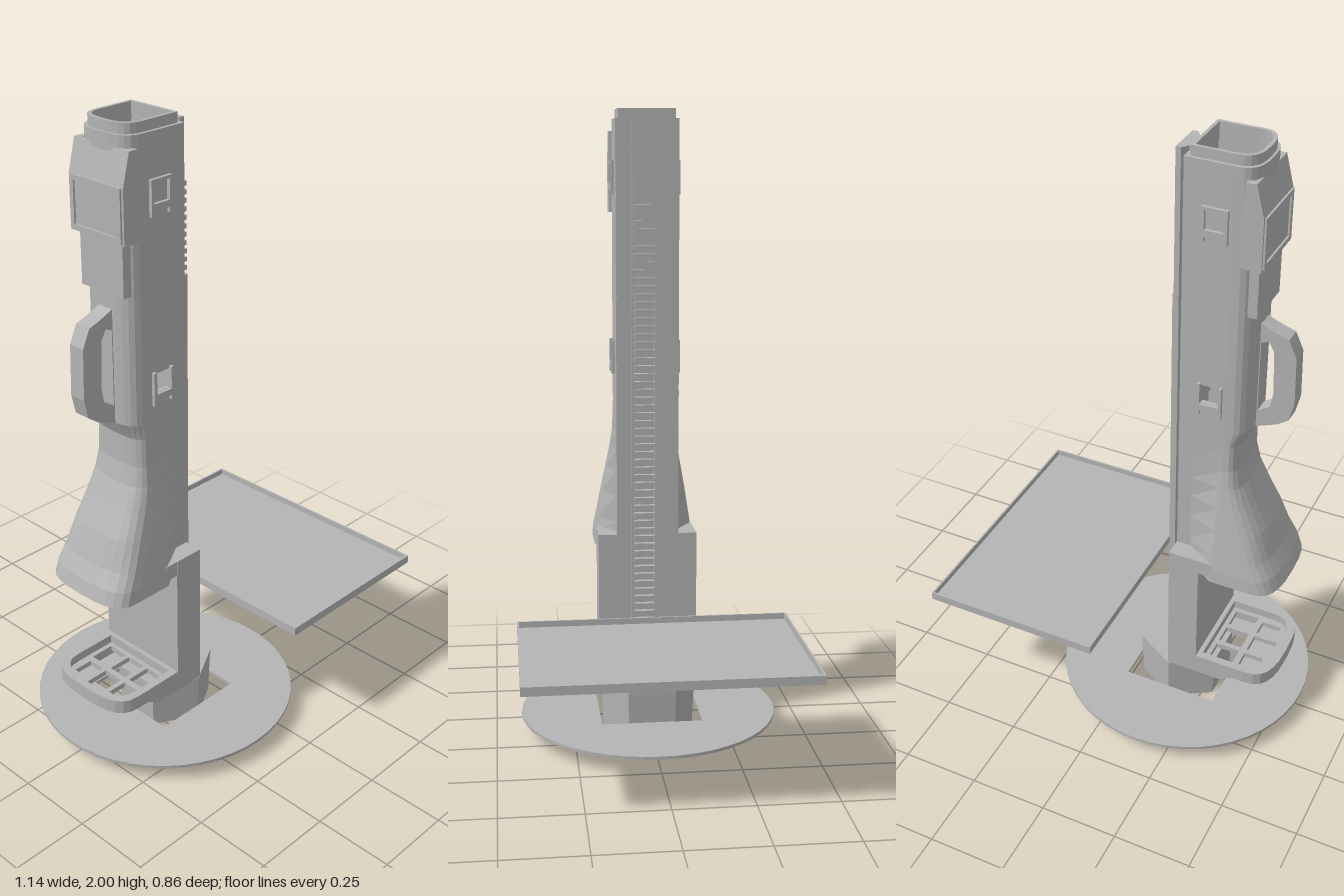
import * as THREE from 'three';

const grey = new THREE.MeshStandardMaterial({ color: 0xb4b4b4, side: THREE.DoubleSide });
grey.name = 'plain grey';

function add(group, name, geo, x = 0, y = 0, z = 0) {
  const m = new THREE.Mesh(geo, grey);
  m.name = name;
  m.position.set(x, y, z);
  group.add(m);
  return m;
}

// box given by its limits
function block(group, name, x0, x1, y0, y1, z0, z1) {
  return add(group, name, new THREE.BoxGeometry(x1 - x0, y1 - y0, z1 - z0),
    (x0 + x1) / 2, (y0 + y1) / 2, (z0 + z1) / 2);
}

const toShape = (pts) => new THREE.Shape(pts.map(p => new THREE.Vector2(p[0], p[1])));
const toPath = (pts) => new THREE.Path(pts.map(p => new THREE.Vector2(p[0], p[1])));
const rect = (x0, x1, y0, y1) => [[x0, y0], [x1, y0], [x1, y1], [x0, y1]];

// plan outline [x, z] raised from y0 to y1
function upright(pts, holes, y0, y1) {
  const s = toShape(pts);
  holes.forEach(h => s.holes.push(toPath(h)));
  const g = new THREE.ExtrudeGeometry(s, { depth: y1 - y0, bevelEnabled: false });
  return g.rotateX(-Math.PI / 2).translate(0, y0, 0);
}

// side outline [x, y] extruded from z0 to z1
function sideways(pts, holes, z0, z1) {
  const s = toShape(pts);
  holes.forEach(h => s.holes.push(toPath(h)));
  return new THREE.ExtrudeGeometry(s, { depth: z1 - z0, bevelEnabled: false }).translate(0, 0, z0);
}

// rounded nose towards -x
function nose(xMin, xc, h, n = 12) {
  const pts = [];
  for (let i = 0; i <= n; i++) {
    const a = -Math.PI / 2 + Math.PI * i / n, s = Math.sin(a);
    const c = i === 0 || i === n ? 0 : Math.cos(a);
    pts.push([xc - (xc - xMin) * Math.pow(c, 0.7), h * Math.sign(s) * Math.pow(Math.abs(s), 0.7)]);
  }
  return pts;
}

// closed section of the flared shell; t insets it for the inner wall
function section([y, xMin, xc, h], t) {
  const b = 0.1 - t, xb = -0.155 - t;
  return [[xb, -b], [-0.2, -b], [-0.295, -(h - t)], ...nose(xMin + t, xc, h - t),
    [-0.295, h - t], [-0.2, b], [xb, b]].map(([x, z]) => [x, y, z]);
}

function loft(rows) {
  const n = rows[0].length, idx = [];
  for (let r = 0; r < rows.length - 1; r++) {
    for (let i = 0; i < n; i++) {
      const a = r * n + i, b = r * n + (i + 1) % n;
      idx.push(a, b, a + n, b, b + n, a + n);
    }
  }
  const g = new THREE.BufferGeometry();
  g.setAttribute('position', new THREE.Float32BufferAttribute(rows.flat(2), 3));
  g.setIndex(idx);
  const flat = g.toNonIndexed();
  flat.computeVertexNormals();
  return flat;
}

export function createModel() {
  const root = new THREE.Group();
  root.name = 'tower with tray';
  const CX = -0.155;

  // ground disc with square opening
  const disc = [];
  for (let i = 0; i < 48; i++) {
    const a = i / 48 * Math.PI * 2;
    disc.push([CX + 0.417 * Math.cos(a), 0.417 * Math.sin(a)]);
  }
  add(root, 'groundDisc', upright(disc, [rect(-0.32, -0.01, -0.163, 0.163)], 0.05, 0.06));

  // hexagonal pedestal with slotted underside
  const base = new THREE.Group();
  base.name = 'pedestal';
  root.add(base);
  add(base, 'pedestalWall', new THREE.CylinderGeometry(0.155, 0.148, 0.16, 6, 1, true).toNonIndexed(), CX, 0.08, 0)
    .geometry.computeVertexNormals();
  const hex = (r) => Array.from({ length: 6 }, (_, i) => {
    const a = Math.PI / 6 + i * Math.PI / 3;
    return [CX + r * Math.cos(a), r * Math.sin(a)];
  });
  add(base, 'pedestalTop', upright(hex(0.155), [rect(-0.215, -0.185, -0.015, 0.015)], 0.15, 0.16));
  const slots = [];
  for (let i = 0; i < 6; i++) {
    const polar = (r, d) => {
      const a = i * Math.PI / 3 + d;
      return [CX + r * Math.cos(a), r * Math.sin(a)];
    };
    slots.push([polar(0.055, -0.2), polar(0.105, -0.36), polar(0.105, 0.36), polar(0.055, 0.2)]);
  }
  add(base, 'pedestalBottom', upright(hex(0.148), slots, 0, 0.012));

  // hollow lower column
  const column = new THREE.Group();
  column.name = 'lowerColumn';
  root.add(column);
  block(column, 'columnBack', -0.17, -0.155, 0.17, 0.65, -0.16, 0.16);
  block(column, 'columnFloor', -0.255, -0.17, 0.16, 0.18, -0.145, 0.145);
  const face = sideways(rect(-0.16, 0.16, 0.17, 0.6), [rect(-0.05, 0.05, 0.49, 0.56)], 0, 0.015);
  add(column, 'columnFace', face.rotateY(-Math.PI / 2), -0.24);
  for (const s of [-1, 1]) {
    block(column, 'columnSide', -0.254, -0.156, 0.17, 0.65, s * 0.1525 - 0.0075, s * 0.1525 + 0.0075);
    block(column, 'columnLedge', -0.3, -0.156, 0.6, 0.65, s * 0.126 - 0.033, s * 0.126 + 0.033);
  }

  // rounded foot with ladder openings
  const foot = new THREE.Group();
  foot.name = 'foot';
  root.add(foot);
  const footOuter = [[-0.25, -0.16], ...nose(-0.512, -0.42, 0.16), [-0.25, 0.16]];
  const footInner = [[-0.27, -0.135], ...nose(-0.487, -0.41, 0.135), [-0.27, 0.135]];
  add(foot, 'footRim', upright(footOuter, [footInner], 0.197, 0.24));
  const cells = [rect(-0.465, -0.385, -0.035, 0.035)];
  for (const z of [-0.085, 0, 0.085]) cells.push(rect(-0.365, -0.285, z - 0.034, z + 0.034));
  for (const z of [-0.08, 0.08]) cells.push(rect(-0.45, -0.385, z - 0.028, z + 0.028));
  add(foot, 'footGrid', upright(footOuter, cells, 0.195, 0.212));
  for (const z of [-0.16, 0.13]) {
    add(foot, 'footBrace', sideways([[-0.25, 0.17], [-0.34, 0.17], [-0.39, 0.197], [-0.25, 0.197]], [], z, z + 0.03));
  }

  // flared stock shell: [y, outermost x, start of nose, half width]
  const rows = [
    [1.12, -0.37, -0.3, 0.1], [1.07, -0.345, -0.3, 0.1], [0.98, -0.348, -0.3, 0.103],
    [0.92, -0.362, -0.3, 0.112], [0.85, -0.395, -0.315, 0.124], [0.77, -0.435, -0.345, 0.138],
    [0.68, -0.468, -0.385, 0.152], [0.63, -0.495, -0.41, 0.16], [0.585, -0.51, -0.425, 0.163]];
  add(root, 'flaredStock', loft([
    ...rows.map(r => section(r, 0)), ...rows.slice().reverse().map(r => section(r, 0.014))]));

  // hollow upper tower
  const tower = new THREE.Group();
  tower.name = 'upperTower';
  root.add(tower);
  add(tower, 'towerNose', upright([...nose(-0.37, -0.3, 0.1), ...nose(-0.357, -0.3, 0.087).reverse()], [], 1.12, 1.97));
  block(tower, 'towerBack', -0.175, -0.155, 1.12, 1.97, -0.099, 0.099);
  const wall = rect(-0.3, -0.156, 1.12, 1.97), win = rect(-0.28, -0.222, 1.207, 1.267);
  add(tower, 'towerSide', sideways(wall, [win], 0.087, 0.1));
  add(tower, 'towerSide', sideways(wall, [win], -0.1, -0.087));
  const capOuter = [[-0.17, -0.09], ...nose(-0.363, -0.295, 0.09), [-0.17, 0.09]];
  const capInner = [[-0.18, -0.08], ...nose(-0.352, -0.295, 0.08), [-0.18, 0.08]];
  add(tower, 'topCollar', upright(capOuter, [capInner], 1.95, 2));

  // pronged clips on both sides
  for (const y of [1.2, 1.767]) {
    for (const s of [-1, 1]) {
      const clip = new THREE.Group();
      clip.name = 'sideClip';
      root.add(clip);
      const bar = (x0, x1, y0, y1) => block(clip, 'clipBar', x0, x1, y + y0, y + y1, s * 0.105 - 0.006, s * 0.105 + 0.006);
      bar(-0.29, -0.28, -0.03, 0.075);
      bar(-0.222, -0.212, -0.03, 0.075);
      bar(-0.28, -0.222, -0.015, 0.006);
      if (y > 1.5) bar(-0.28, -0.222, 0.066, 0.075);
    }
  }

  // grip loop
  add(root, 'gripLoop', sideways(
    [[-0.362, 1.475], [-0.41, 1.455], [-0.455, 1.44], [-0.48, 1.385], [-0.484, 1.23], [-0.47, 1.17], [-0.435, 1.145], [-0.362, 1.115]],
    [[[-0.372, 1.41], [-0.395, 1.42], [-0.412, 1.39], [-0.418, 1.25], [-0.41, 1.2], [-0.372, 1.175]]],
    -0.027, 0.027));

  // sight block on the narrow face
  const sight = new THREE.Group();
  sight.name = 'sightBlock';
  root.add(sight);
  add(sight, 'sightBody', sideways(
    [[-0.355, 1.68], [-0.39, 1.68], [-0.39, 1.84], [-0.366, 1.935], [-0.355, 1.935]], [], -0.107, 0.107));
  for (const z of [-0.107, 0.087]) {
    add(sight, 'sightCheek', sideways([[-0.32, 1.68], [-0.356, 1.68], [-0.356, 1.935], [-0.335, 1.935]], [], z, z + 0.02));
  }
  block(sight, 'sightFoot', -0.377, -0.356, 1.52, 1.68, -0.085, 0.085);
  for (const z of [-0.085, 0.07]) block(sight, 'sightFootCheek', -0.377, -0.332, 1.52, 1.68, z, z + 0.015);
  const frame = sideways(rect(-0.1, 0.1, 1.685, 1.84), [rect(-0.085, 0.085, 1.7, 1.825)], 0, 0.006);
  add(sight, 'sightFrame', frame.rotateY(-Math.PI / 2), -0.39);

  // toothed rail
  const rail = new THREE.Group();
  rail.name = 'toothedRail';
  root.add(rail);
  add(rail, 'railBeam', upright(
    [[-0.156, -0.035], [-0.143, -0.035], [-0.128, -0.056], [-0.112, -0.056],
      [-0.112, 0.056], [-0.128, 0.056], [-0.143, 0.035], [-0.156, 0.035]], [], 0.16, 1.97));
  block(rail, 'rackEdge', -0.113, -0.102, 0.16, 1.51, 0.048, 0.057);
  block(rail, 'rackEdge', -0.113, -0.102, 0.16, 1.51, -0.042, -0.017);
  for (let y = 0.17; y < 1.79; y += 0.025) {
    block(rail, 'tooth', -0.113, -0.095, y, y + 0.014, -0.016, 0.048);
  }

  // shallow tray
  const tray = new THREE.Group();
  tray.name = 'tray';
  root.add(tray);
  block(tray, 'trayFloor', -0.01, 0.57, 0.388, 0.396, -0.43, 0.43);
  add(tray, 'trayRim', upright(rect(-0.01, 0.57, -0.43, 0.43), [rect(-0.004, 0.564, -0.424, 0.424)], 0.396, 0.415));

  return root;
}
